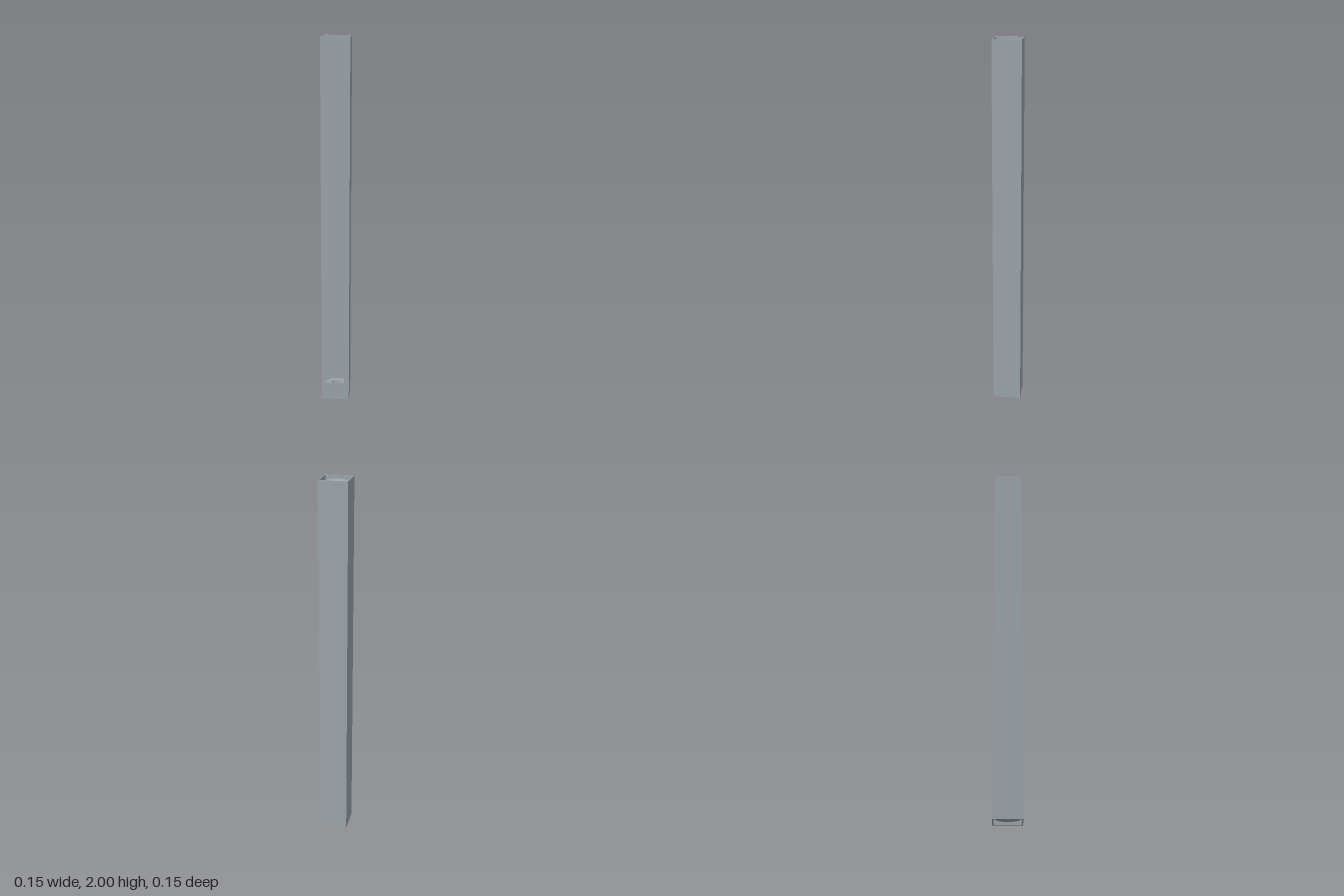
import * as THREE from 'three';
import { toCreasedNormals } from 'three/addons/utils/BufferGeometryUtils.js';

const H = 2, O = 0.076, I = 0.0705;
const material = new THREE.MeshStandardMaterial({ color: 0x99a2a9, side: THREE.DoubleSide });

const points = (list) => list.map(([x, y]) => new THREE.Vector2(x, y));

function add(parent, name, geometry) {
  const mesh = new THREE.Mesh(geometry, material);
  mesh.name = name;
  parent.add(mesh);
  return mesh;
}

// Ring-shaped end insert with a funnel mouth; its mouth is at y = 0
function createEndInsert(name) {
  const insert = new THREE.Group();
  insert.name = name;

  // Closed profile: outer side, rim, rounded funnel, bore
  const profile = points([
    [0.031, -0.045], [0.062, -0.045], [0.062, 0], [0.056, -0.0005], [0.051, -0.002],
    [0.046, -0.005], [0.040, -0.010], [0.031, -0.018], [0.031, -0.045],
  ]);
  add(insert, 'funnelRing', toCreasedNormals(new THREE.LatheGeometry(profile, 64), 0.6));

  // Three sloping lugs around the ring, separated by narrow notches
  const lug = points([
    [0.061, -0.034], [0.069, -0.034], [0.069, -0.014], [0.062, -0.006], [0.061, -0.006], [0.061, -0.034],
  ]);
  const arc = THREE.MathUtils.degToRad(113);
  for (let k = 0; k < 3; k++) {
    const start = THREE.MathUtils.degToRad(48 + k * 120);
    add(insert, 'lug', toCreasedNormals(new THREE.LatheGeometry(lug, 24, start, arc), 0.5));
    for (const angle of [start, start + arc]) {
      const end = add(insert, 'lugEnd', new THREE.ShapeGeometry(new THREE.Shape(lug)));
      end.rotation.y = angle - Math.PI / 2;
    }
  }
  return insert;
}

export function createModel() {
  const model = new THREE.Group();
  model.name = 'squareTube';

  // Back and side walls as one U-shaped channel
  const channel = new THREE.Shape(points([
    [-O, -O], [-I, -O], [-I, I], [I, I], [I, -O], [O, -O], [O, O], [-O, O],
  ]));
  const walls = new THREE.ExtrudeGeometry(channel, { depth: H, bevelEnabled: false });
  walls.rotateX(-Math.PI / 2);
  add(model, 'backAndSideWalls', walls);

  // Front wall with the rectangular window
  const front = new THREE.Shape(points([[-I, 0], [I, 0], [I, H], [-I, H]]));
  front.holes.push(new THREE.Path(points([[-0.05, 0.1], [-0.05, 0.174], [0.05, 0.174], [0.05, 0.1]])));
  const frontWall = new THREE.ExtrudeGeometry(front, { depth: O - I, bevelEnabled: false });
  frontWall.translate(0, 0, I);
  add(model, 'frontWall', frontWall);

  // Inserts just inside both open ends
  const top = createEndInsert('topInsert');
  top.position.y = H - 0.016;
  const bottom = createEndInsert('bottomInsert');
  bottom.rotation.x = Math.PI;
  bottom.position.y = 0.016;
  model.add(top, bottom);

  return model;
}
